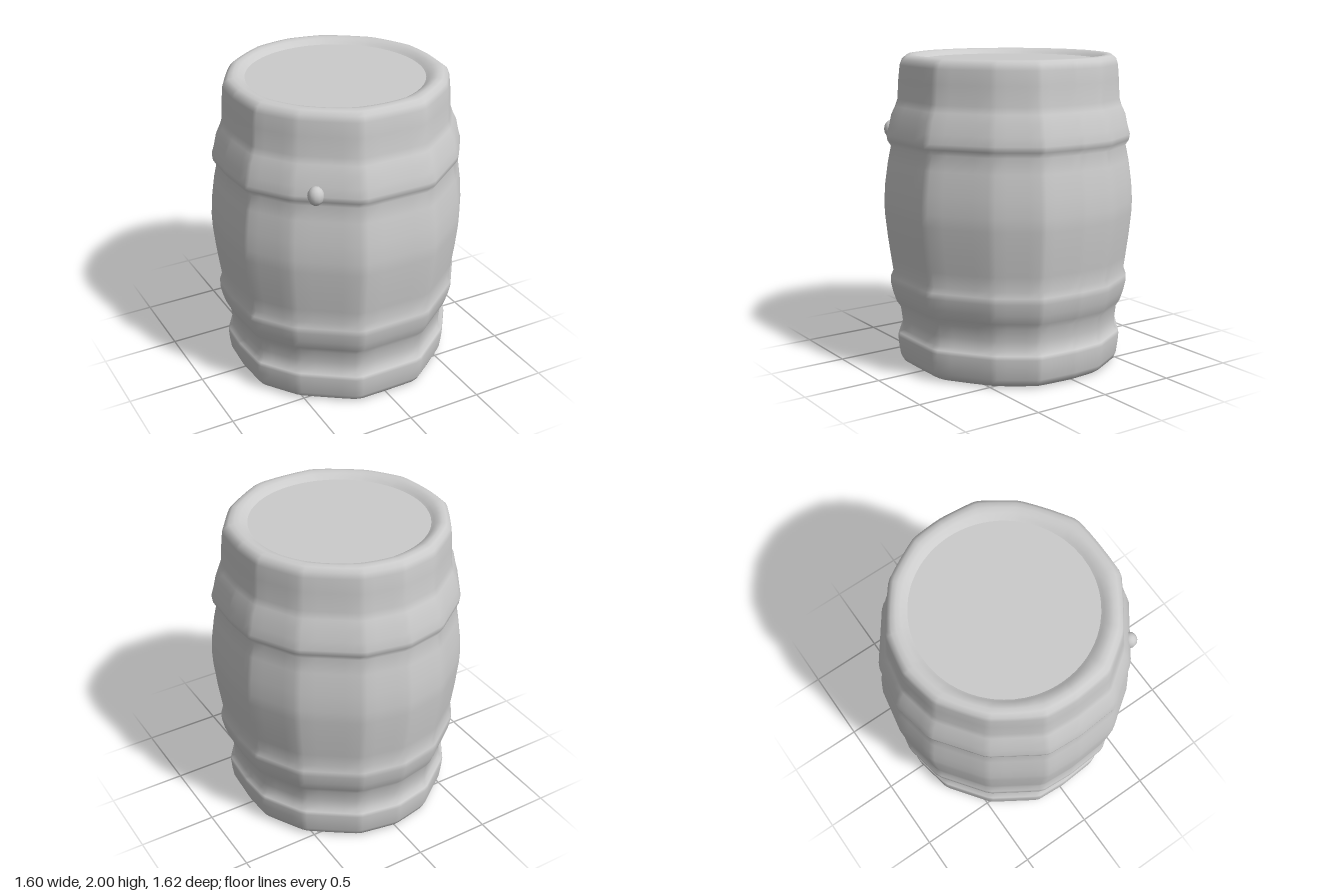
import * as THREE from 'three';

// Irregular stave outline (x, z) at the belly, ordered clockwise from above starting at the back
const OUTLINE = [
  [0, -0.815], [0.29, -0.76], [0.62, -0.52], [0.785, -0.22], [0.80, 0.01], [0.78, 0.30],
  [0.60, 0.55], [0.25, 0.805], [-0.24, 0.805], [-0.60, 0.55], [-0.78, 0.30],
  [-0.80, 0.01], [-0.785, -0.22], [-0.58, -0.54], [-0.28, -0.76],
];
const BELLY = 0.80;
const STEPS = 5; // samples per stave, so that the corners stay only slightly soft

// Points along the outline, including a rounded version for the lid
const SECTION = [];
OUTLINE.forEach(([x, z], i) => {
  const [nx, nz] = OUTLINE[(i + 1) % OUTLINE.length];
  for (const t of [0.06, 0.28, 0.5, 0.72, 0.94].slice(0, STEPS)) {
    SECTION.push([x + (nx - x) * t, z + (nz - z) * t]);
  }
});

// Skin through rings given as [radius, height, roundness]
function loft(rings) {
  const pos = [], idx = [], n = SECTION.length;
  for (const [r, y, round] of rings) {
    for (const [x, z] of SECTION) {
      const s = (r / BELLY) * (1 + round * (BELLY / Math.hypot(x, z) - 1));
      pos.push(x * s, y, z * s);
    }
  }
  for (let j = 0; j < rings.length - 1; j++) {
    for (let i = 0; i < n; i++) {
      const a = j * n + i, b = j * n + (i + 1) % n;
      idx.push(a, a + n, b, b, a + n, b + n);
    }
  }
  const g = new THREE.BufferGeometry();
  g.setAttribute('position', new THREE.Float32BufferAttribute(pos, 3));
  g.setIndex(idx);
  g.computeVertexNormals();
  return g;
}

export function createModel() {
  const group = new THREE.Group();
  const material = new THREE.MeshStandardMaterial({ color: 0xcccccc, side: THREE.DoubleSide });
  const add = (name, geometry) => {
    const mesh = new THREE.Mesh(geometry, material);
    mesh.name = name;
    group.add(mesh);
    return mesh;
  };

  // Barrel wall with raised hoops, rolled top rim and shallow recess
  add('barrelBody', loft([
    [0.67, 0.005, 0.2], [0.70, 0.025, 0.1], [0.715, 0.06, 0], [0.725, 0.13, 0],
    [0.73, 0.19, 0], [0.725, 0.215, 0], [0.70, 0.235, 0], [0.70, 0.30, 0],
    [0.71, 0.38, 0], [0.735, 0.42, 0], [0.755, 0.48, 0], [0.77, 0.55, 0],
    [0.77, 0.59, 0], [0.752, 0.625, 0], [0.765, 0.72, 0], [0.782, 0.85, 0],
    [0.797, 1.0, 0], [0.80, 1.08, 0], [0.792, 1.2, 0], [0.772, 1.34, 0],
    [0.752, 1.435, 0], [0.773, 1.47, 0], [0.778, 1.505, 0], [0.762, 1.56, 0],
    [0.746, 1.635, 0], [0.722, 1.685, 0], [0.708, 1.73, 0.05], [0.702, 1.85, 0.1],
    [0.695, 1.94, 0.2], [0.685, 1.975, 0.3], [0.66, 1.995, 0.4], [0.63, 2.0, 0.6],
    [0.60, 1.993, 0.8], [0.575, 1.975, 1], [0.56, 1.965, 1],
  ]));

  // Flat lid and underside
  add('lid', loft([[0.56, 1.965, 1], [0.001, 1.965, 1]]));
  add('base', loft([[0.001, 0.005, 0.2], [0.67, 0.005, 0.2]]));

  // Small knob on the upper hoop
  const knob = add('hoopKnob', new THREE.SphereGeometry(0.05, 12, 8));
  knob.position.set(-0.46, 1.51, 0.615);
  knob.scale.set(1, 1.2, 1);
  return group;
}
